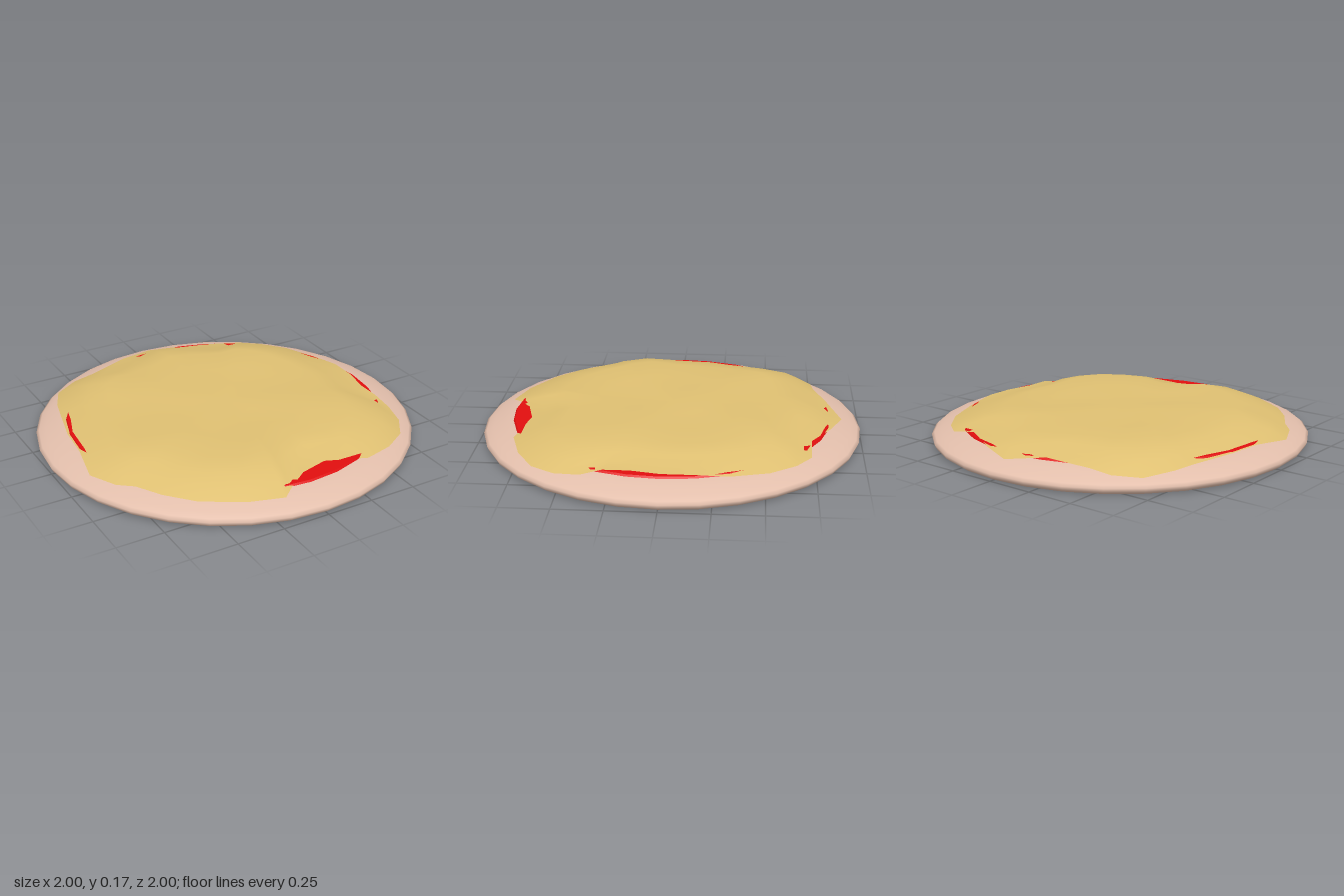
import * as THREE from 'three';

// Cheese outline as x, z pairs, clockwise seen from above, starting at the back
const OUTLINE = [
  0, -0.9, 0.17, -0.835, 0.37, -0.73, 0.52, -0.725, 0.62, -0.65, 0.72, -0.52, 0.79, -0.33,
  0.82, -0.15, 0.82, 0, 0.79, 0.15, 0.79, 0.28, 0.8, 0.39, 0.77, 0.52, 0.69, 0.64,
  0.55, 0.73, 0.38, 0.785, 0.15, 0.73, 0, 0.77, -0.11, 0.84, -0.17, 0.885, -0.35, 0.83,
  -0.55, 0.71, -0.67, 0.58, -0.75, 0.45, -0.82, 0.38, -0.89, 0.23, -0.85, 0.02, -0.83, -0.18,
  -0.77, -0.42, -0.74, -0.53, -0.67, -0.68, -0.54, -0.755, -0.43, -0.765, -0.2, -0.82,
];

// Rings of the cheese from rim to middle: share of the outline, height
const RINGS = [[1, 0], [0.9, 0.123], [0.81, 0.145], [0.69, 0.166], [0.45, 0.164], [0.22, 0.165]];

function cheeseGeometry() {
  const n = OUTLINE.length / 2;
  const positions = [];
  const indices = [];
  RINGS.forEach(([share, height], ring) => {
    for (let i = 0; i < n; i++) {
      const x = OUTLINE[2 * i] * share;
      const z = OUTLINE[2 * i + 1] * share;
      const r = Math.hypot(x, z);
      // The rim rests on the sauce, or droops onto the crust where it reaches past it
      const rim = r > 0.845 ? 0.1 - (r - 0.84) * 0.25 : 0.113;
      const bump = 0.007 * Math.sin(7 * x + 2) * Math.cos(8 * z + 1);
      positions.push(x, ring === 0 ? rim : height + (ring > 2 ? bump : 0), z);
    }
  });
  positions.push(0, 0.168, 0);
  const centre = RINGS.length * n;
  for (let i = 0; i < n; i++) {
    const j = (i + 1) % n;
    for (let k = 0; k < RINGS.length - 1; k++) {
      const a = k * n + i, b = k * n + j, c = a + n, d = b + n;
      indices.push(a, c, b, b, c, d);
    }
    const last = centre - n;
    indices.push(last + i, centre, last + j);
  }
  const geometry = new THREE.BufferGeometry();
  geometry.setAttribute('position', new THREE.Float32BufferAttribute(positions, 3));
  geometry.setIndex(indices);
  geometry.computeVertexNormals();
  return geometry;
}

export function createModel() {
  const material = (name, color, side = THREE.FrontSide) => {
    const m = new THREE.MeshStandardMaterial({ color, side });
    m.name = name;
    return m;
  };
  const group = new THREE.Group();
  group.name = 'pizza';
  const add = (name, geometry, mat) => {
    const mesh = new THREE.Mesh(geometry, mat);
    mesh.name = name;
    group.add(mesh);
    return mesh;
  };

  // Round dough base with a rolled edge and flat underside
  const profile = [
    [0, 0], [0.93, 0], [0.975, 0.002], [0.992, 0.015], [1, 0.035], [0.985, 0.048],
    [0.95, 0.063], [0.9, 0.08], [0.84, 0.097], [0.78, 0.1], [0, 0.1],
  ].map(([x, y]) => new THREE.Vector2(x, y));
  add('crust', new THREE.LatheGeometry(profile, 32), material('dough', 0xe3bfac));

  // Thin disc of sauce showing around the cheese
  const sauce = add('sauce', new THREE.CylinderGeometry(0.835, 0.842, 0.009, 32), material('tomato red', 0xe20f0f));
  sauce.position.y = 0.1015;

  // Melted cheese sheet with an uneven rim
  add('cheese', cheeseGeometry(), material('cheese yellow', 0xdfc072, THREE.DoubleSide));

  return group;
}
